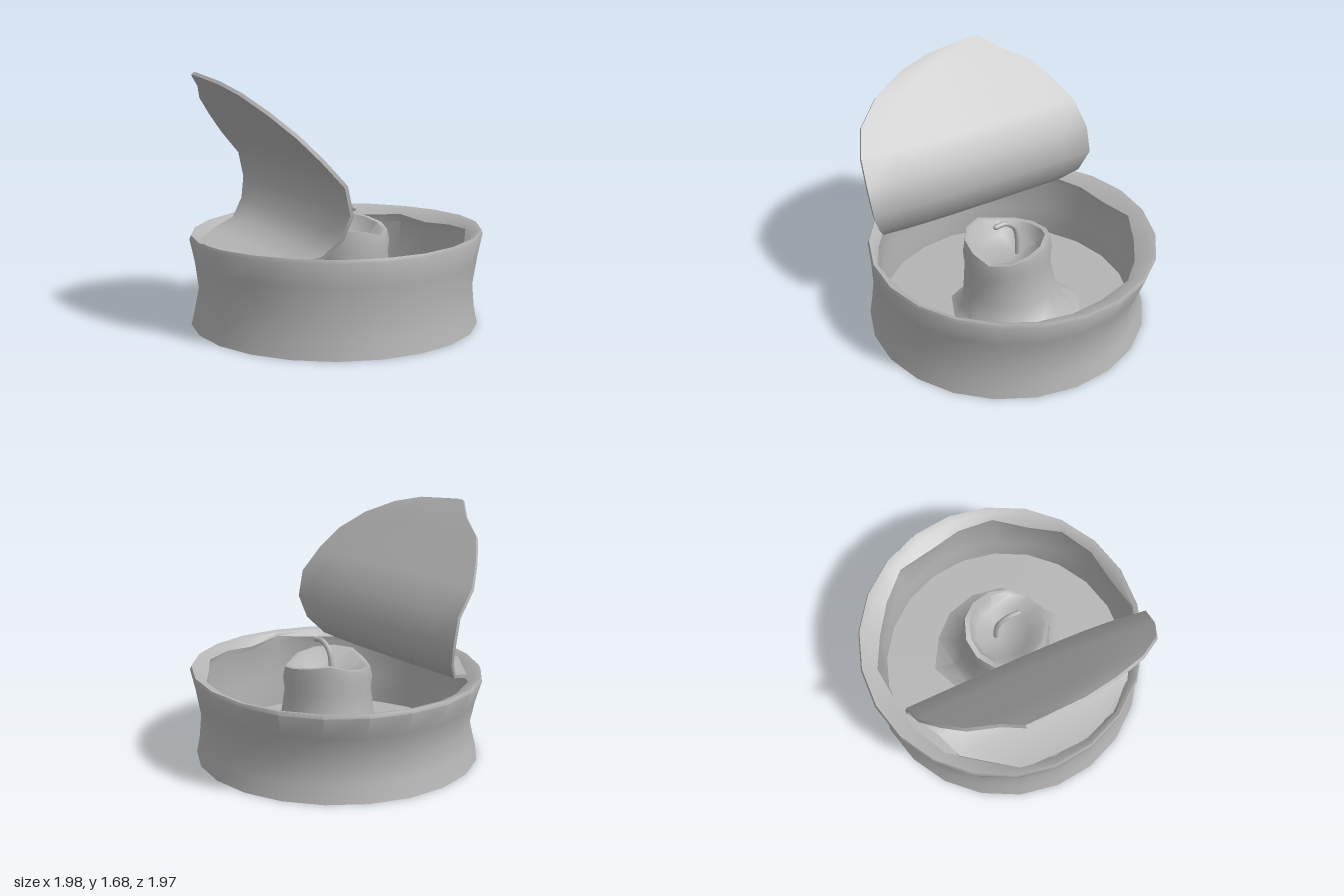
import * as THREE from 'three';
import { toCreasedNormals, mergeVertices } from 'three/addons/utils/BufferGeometryUtils.js';

const metal = new THREE.MeshStandardMaterial({ color: 0xb4b4b4 });
metal.name = 'plain grey';

// Skin closed loops of points; point(i, j) gives vertex j of loop i
function skin(loops, sides, point, crease) {
  const pos = [], index = [];
  for (let i = 0; i < loops; i++) {
    for (let j = 0; j < sides; j++) pos.push(...point(i, j));
  }
  for (let i = 0; i < loops - 1; i++) {
    for (let j = 0; j < sides; j++) {
      const k = (j + 1) % sides;
      const a = i * sides + j, b = a + sides, c = i * sides + k, d = c + sides;
      index.push(a, b, c, b, d, c);
    }
  }
  const g = new THREE.BufferGeometry();
  g.setAttribute('position', new THREE.Float32BufferAttribute(pos, 3));
  g.setIndex(index);
  return toCreasedNormals(mergeVertices(g), crease);
}

function part(name, geometry) {
  const m = new THREE.Mesh(geometry, metal);
  m.name = name;
  return m;
}

// Dented tin: radius, height, centre x, centre z, rim wobble, torn-lip roughness
function makeTin() {
  const p = [
    [0, 0.01, -0.03, 0.03, 0, 0], [0.965, 0.01, -0.03, 0.03, 0, 0],
    [0.94, 0.13, -0.03, 0.035, 0, 0], [0.92, 0.27, -0.025, 0.04, 0.5, 0],
    [0.95, 0.45, -0.01, 0.02, 1, 0], [0.985, 0.6, 0, 0, 1, 0],
    [0.975, 0.625, 0, 0, 1, 0], [0.935, 0.61, -0.01, 0.01, 1, 0],
    [0.885, 0.57, -0.02, 0.03, 1, 1], [0.9, 0.52, -0.02, 0.03, 1, 0.6],
    [0.875, 0.28, -0.025, 0.04, 0.3, 0], [0.875, 0.07, -0.03, 0.035, 0, 0],
    [0, 0.07, -0.03, 0.03, 0, 0],
  ];
  const n = 22;
  return skin(p.length, n, (i, j) => {
    const [r, y, cx, cz, wob, tear] = p[i];
    const t = (j / n) * Math.PI * 2 + 0.05;
    const rough = Math.sin(j * 2.3) * 0.022 * tear;
    const rr = r ? r + rough : 0;
    const lift = wob * (0.014 * Math.sin(t) + 0.008 * Math.cos(t) + 0.004 * Math.sin(3 * t));
    return [cx + rr * Math.cos(t), y + lift + rough * 0.7, cz + rr * Math.sin(t)];
  }, 0.75);
}

// Candle: radius, height, centre x, centre z, rim wobble
function makeCandle() {
  const p = [
    [0.47, 0.065, 0.1, 0.03, 0], [0.36, 0.13, 0.07, 0.04, 0],
    [0.32, 0.3, 0.04, 0.05, 0], [0.295, 0.48, 0.03, 0.06, 0.2],
    [0.305, 0.57, 0.03, 0.06, 0.6], [0.29, 0.65, 0.03, 0.06, 1],
    [0.255, 0.65, 0.03, 0.06, 1], [0.19, 0.55, 0.04, 0.04, 0.3],
    [0, 0.51, 0.05, 0, 0],
  ];
  const n = 13;
  return skin(p.length, n, (i, j) => {
    const [r, y, cx, cz, wob] = p[i];
    const t = (j / n) * Math.PI * 2;
    const flare = i === 0 ? 1 + 0.08 * Math.sin(j * 2.6) : 1;
    const lift = wob * (-0.035 * Math.sin(2 * t) + 0.01 * Math.sin(5 * t));
    return [cx + r * flare * Math.cos(t), y + lift, cz + r * flare * Math.sin(t)];
  }, 1.0);
}

// Peeled-back lid: a thin bent disc given as x, y, back z, front z per row
function makeLid() {
  const rows = [
    [-0.9, 0.57, -0.25, 0.28], [-0.64, 0.57, -0.6, 0.65], [-0.46, 0.62, -0.67, 0.74],
    [-0.345, 0.74, -0.76, 0.81], [-0.3, 0.89, -0.82, 0.86], [-0.34, 1.07, -0.815, 0.87],
    [-0.48, 1.23, -0.79, 0.84], [-0.61, 1.37, -0.69, 0.77], [-0.73, 1.5, -0.57, 0.6],
    [-0.82, 1.6, -0.38, 0.37], [-0.88, 1.655, -0.3, 0.14], [-0.91, 1.685, -0.26, -0.2],
  ];
  const across = 9, last = rows.length - 1, thick = 0.024;
  // First and last loops collapse to close the sheet's ends
  return skin(rows.length + 2, across * 2, (i, j) => {
    const k = Math.min(Math.max(i - 1, 0), last);
    const end = i === 0 || i === last + 2;
    const [x, y, z0, z1] = rows[k];
    const a = rows[Math.max(k - 1, 0)], b = rows[Math.min(k + 1, last)];
    const dx = b[0] - a[0], dy = b[1] - a[1], len = Math.hypot(dx, dy);
    const u = (j < across ? j : across * 2 - 1 - j) / (across - 1);
    const o = end ? 0 : (j < across ? 0.5 : -0.5) * thick;
    // The front edge curls back around the bend
    const curl = 0.06 * u ** 5 * Math.sin((Math.PI * k) / last);
    return [x - curl + (o * dy) / len, y - (o * dx) / len, z0 + (z1 - z0) * u];
  }, 0.8);
}

// Curved wick with a rounded tip
function makeWick() {
  const path = new THREE.CatmullRomCurve3([
    [0.05, 0.5, -0.01], [0.05, 0.66, -0.005], [0.05, 0.74, 0.02],
    [0.05, 0.79, 0.09], [0.05, 0.785, 0.16],
  ].map((v) => new THREE.Vector3(...v)));
  return new THREE.TubeGeometry(path, 14, 0.018, 8);
}

export function createModel() {
  const model = new THREE.Group();
  model.name = 'tinCandle';
  const tip = part('wickTip', new THREE.SphereGeometry(0.018, 8, 6));
  tip.position.set(0.05, 0.785, 0.16);
  model.add(
    part('tin', makeTin()),
    part('candle', makeCandle()),
    part('lid', makeLid()),
    part('wick', makeWick()),
    tip,
  );
  return model;
}
